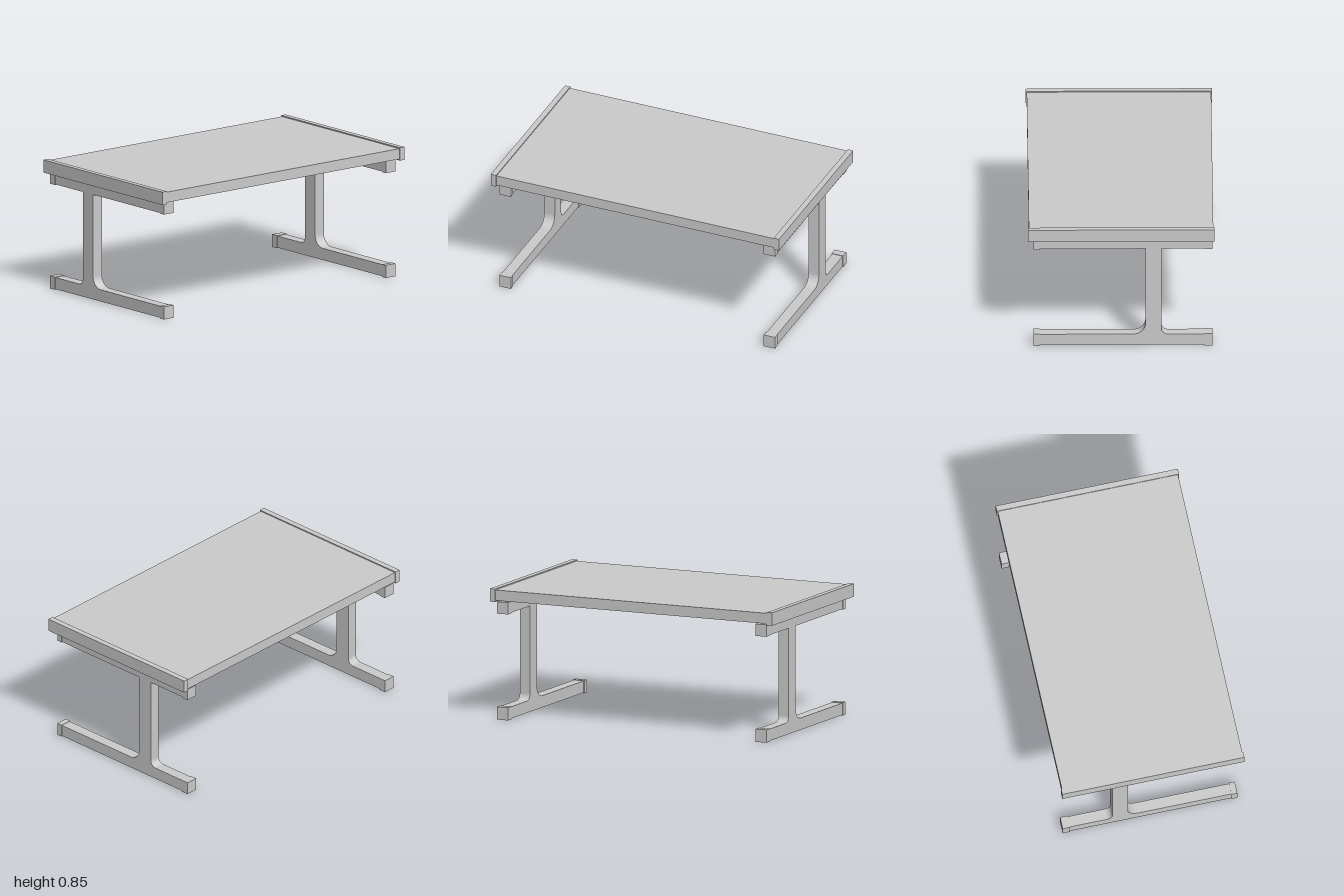
import * as THREE from 'three';

const material = new THREE.MeshStandardMaterial({ color: 0xcccccc, flatShading: true });

// Box given by its min and max corners
function box(name, [x0, y0, z0], [x1, y1, z1]) {
  const mesh = new THREE.Mesh(new THREE.BoxGeometry(x1 - x0, y1 - y0, z1 - z0), material);
  mesh.position.set((x0 + x1) / 2, (y0 + y1) / 2, (z0 + z1) / 2);
  mesh.name = name;
  return mesh;
}

// Foot bar and post in one outline, with a small and a large fillet
function footAndPost() {
  const s = new THREE.Shape();
  s.moveTo(-0.577, 0.004);
  s.lineTo(0.552, 0.004);
  s.lineTo(0.552, 0.08);
  s.lineTo(-0.08, 0.08);
  s.absarc(-0.08, 0.155, 0.075, -Math.PI / 2, -Math.PI, true);
  s.lineTo(-0.155, 0.69);
  s.lineTo(-0.257, 0.69);
  s.lineTo(-0.257, 0.12);
  s.absarc(-0.297, 0.12, 0.04, 0, -Math.PI / 2, true);
  s.lineTo(-0.577, 0.08);
  s.closePath();
  const geometry = new THREE.ExtrudeGeometry(s, { depth: 0.072, bevelEnabled: false, curveSegments: 5 });
  geometry.translate(0, 0, -0.036);
  const mesh = new THREE.Mesh(geometry, material);
  mesh.name = 'footAndPost';
  return mesh;
}

function legFrame(z) {
  const leg = new THREE.Group();
  leg.name = z > 0 ? 'frontLeg' : 'backLeg';
  leg.add(footAndPost());
  leg.add(box('supportBar', [-0.577, 0.688, -0.036], [0.552, 0.755, 0.036]));
  // End caps, slightly larger than the bars
  for (const [part, y0, y1] of [['foot', 0, 0.083], ['support', 0.685, 0.762]]) {
    leg.add(box(part + 'CapRight', [-0.581, y0, -0.04], [-0.532, y1, 0.04]));
    leg.add(box(part + 'CapLeft', [0.519, y0, -0.04], [0.556, y1, 0.04]));
  }
  leg.position.z = z;
  return leg;
}

export function createModel() {
  const table = new THREE.Group();
  table.name = 'table';
  table.add(box('tableTop', [-0.587, 0.77, -0.965], [0.587, 0.838, 0.965]));
  // Raised strips across both ends of the top
  table.add(box('frontEdgeStrip', [-0.593, 0.761, 0.963], [0.593, 0.845, 1]));
  table.add(box('backEdgeStrip', [-0.593, 0.761, -1], [0.593, 0.845, -0.963]));
  for (const z of [0.917, -0.917]) table.add(legFrame(z));
  return table;
}
